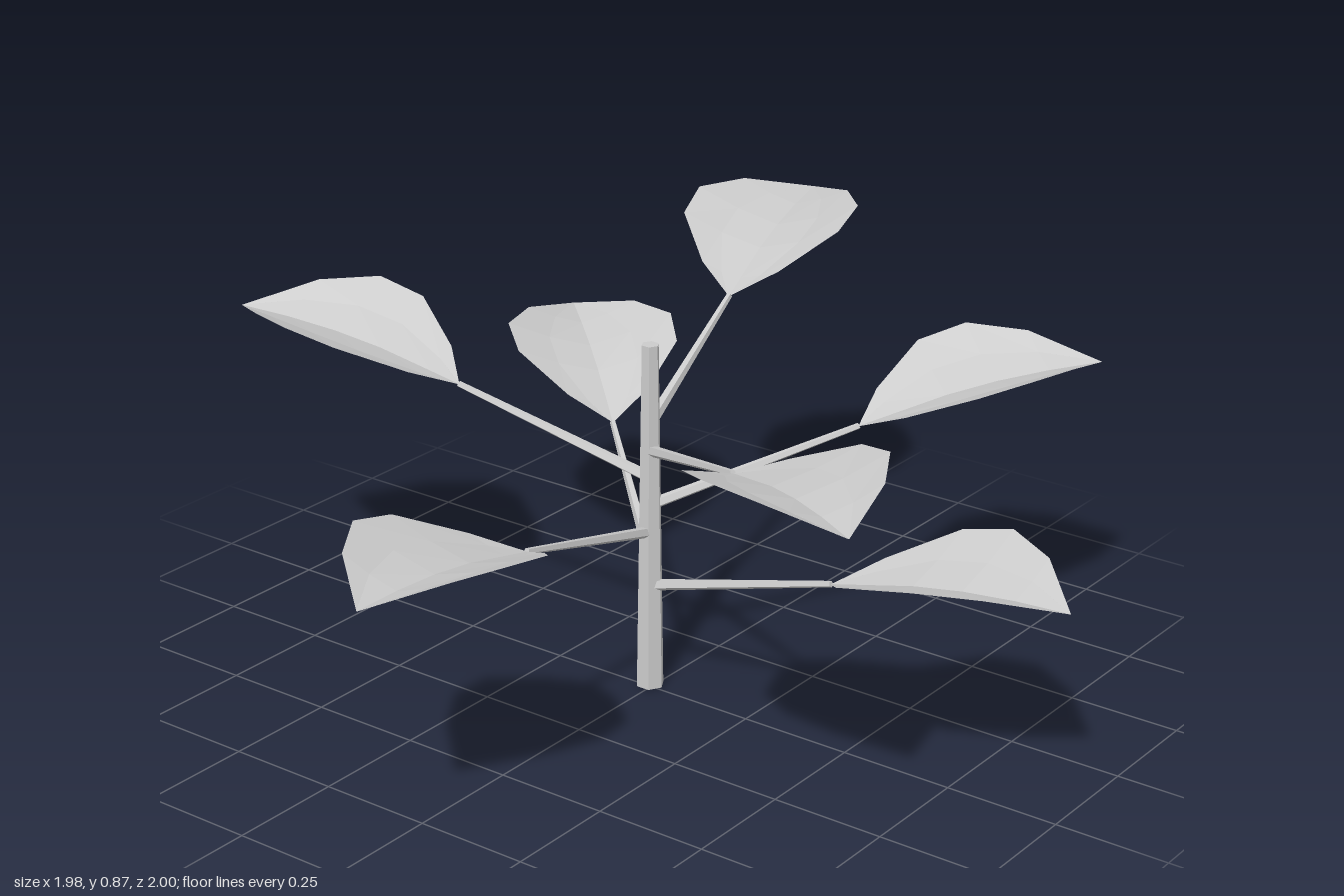
import * as THREE from 'three';

const grey = new THREE.MeshStandardMaterial({ color: 0xcccccc, flatShading: true, side: THREE.DoubleSide });
grey.name = 'light grey';

// Leaf stations: [distance along, half width, midrib height, rim height]
const STATIONS = [
  [0, 0.002, 0, 0],
  [0.07, 0.09, 0.018, 0.045],
  [0.195, 0.183, 0.05, 0.11],
  [0.308, 0.19, 0.07, 0.137],
  [0.428, 0.125, 0.083, 0.13],
  [0.55, 0.001, 0.09, 0.09],
];

// Cupped leaf blade growing along +z, creased at the midrib
function leafGeometry() {
  const across = [-1, -0.5, 0, 0.5, 1];
  const n = across.length;
  const points = [];
  const faces = [];
  STATIONS.forEach(([z, half, mid, rim], row) => {
    across.forEach((u, col) => {
      points.push(u * half, mid + (rim - mid) * Math.pow(Math.abs(u), 1.3), z);
      if (row && col) {
        const d = row * n + col, c = d - 1, b = d - n, a = b - 1;
        faces.push(a, c, b, b, c, d);
      }
    });
  });
  const geometry = new THREE.BufferGeometry();
  geometry.setAttribute('position', new THREE.Float32BufferAttribute(points, 3));
  geometry.setIndex(faces);
  geometry.computeVertexNormals();
  return geometry;
}

// Tapered stick between two points
function stick(from, to, r0, r1, sides, name) {
  const dir = to.clone().sub(from);
  const mesh = new THREE.Mesh(new THREE.CylinderGeometry(r1, r0, dir.length(), sides), grey);
  mesh.position.copy(from).add(to).multiplyScalar(0.5);
  mesh.quaternion.setFromUnitVectors(new THREE.Vector3(0, 1, 0), dir.normalize());
  mesh.name = name;
  return mesh;
}

export function createModel() {
  const plant = new THREE.Group();
  plant.name = 'plant';
  plant.position.set(0.01, 0, -0.01);

  plant.add(stick(new THREE.Vector3(), new THREE.Vector3(0, 0.78, 0), 0.031, 0.019, 6, 'trunk'));

  // Seven branches spiralling up the trunk by the golden angle
  const blade = leafGeometry();
  for (let i = 0; i < 7; i++) {
    const branch = new THREE.Group();
    branch.name = 'branch' + (i + 1);
    branch.position.y = 0.235 + i * 0.0617;
    branch.rotation.y = THREE.MathUtils.degToRad(i * 137.5);
    const end = new THREE.Vector3(0, 0.13, 0.46);
    branch.add(stick(new THREE.Vector3(), end, 0.013, 0.007, 5, 'stem'));
    const leaf = new THREE.Mesh(blade, grey);
    leaf.name = 'leaf';
    leaf.position.copy(end);
    branch.add(leaf);
    plant.add(branch);
  }

  const model = new THREE.Group();
  model.add(plant);
  return model;
}
